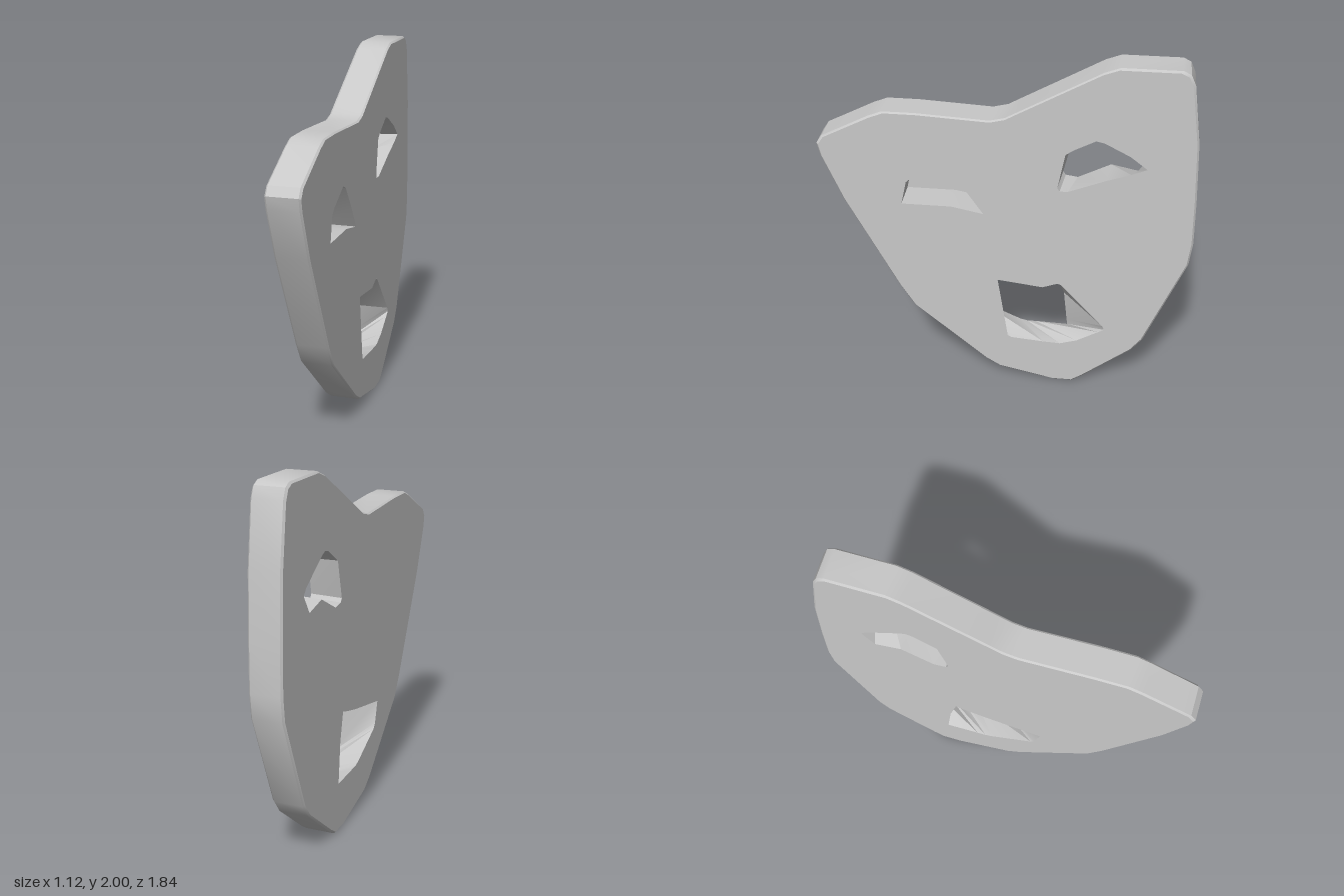
import * as THREE from 'three';
import { toCreasedNormals } from 'three/addons/utils/BufferGeometryUtils.js';

const H = 0.09; // half the plate thickness
const BEVEL = 0.01;

// Contours run anticlockwise as [across, up], seen from the plate's +z face.
const outline = [
  [0.27, 0], [0.38, 0], [0.44, 0.04], [0.71, 0.255], [0.77, 0.335], [0.985, 0.865], [1, 1],
  [0.995, 1.26], [0.98, 1.6], [0.935, 1.925], [0.91, 1.98], [0.87, 2], [0.565, 2], [0.485, 1.97],
  [0.06, 1.73], [-0.01, 1.69], [-0.09, 1.67], [-0.48, 1.69], [-0.65, 1.69], [-0.725, 1.66],
  [-0.98, 1.53], [-1.01, 1.485], [-0.995, 1.415], [-0.89, 1.155], [-0.605, 0.6], [-0.525, 0.47],
  [-0.12, 0.12], [-0.04, 0.07],
];
const eyeFace = [
  [0.73, 1.44], [0.64, 1.51], [0.505, 1.58], [0.46, 1.59], [0.347, 1.53], [0.305, 1.5],
  [0.268, 1.3], [0.28, 1.28], [0.323, 1.28], [0.52, 1.36], [0.65, 1.405],
];
const eyeBack = [
  [0.75, 1.43], [0.72, 1.465], [0.53, 1.58], [0.495, 1.595], [0.455, 1.585], [0.335, 1.51],
  [0.285, 1.3], [0.3, 1.28], [0.365, 1.27], [0.54, 1.36], [0.685, 1.33],
];
const mouthFace = [
  [-0.05, 0.685], [0.007, 0.3], [0.03, 0.29], [0.21, 0.275], [0.305, 0.27], [0.4, 0.3],
  [0.52, 0.37], [0.553, 0.39], [0.54, 0.415], [0.3, 0.68], [0.28, 0.685], [0.2, 0.655],
];
const mouthBack = [
  [-0.235, 0.55], [-0.2, 0.425], [-0.18, 0.4], [0.06, 0.29], [0.1, 0.28], [0.15, 0.28],
  [0.335, 0.275], [0.33, 0.31], [0.31, 0.5], [0.27, 0.67], [0.25, 0.66], [0.1, 0.62],
];
const blindEye = [
  [-0.126, 1.11], [-0.21, 1.235], [-0.314, 1.37], [-0.357, 1.385], [-0.405, 1.36],
  [-0.508, 1.31], [-0.54, 1.28], [-0.57, 1.145], [-0.3, 1.145],
];

// Slightly shrunken outline for the bevelled rims
const inset = (pts) => pts.map(([x, y]) => [x * (1 - BEVEL), 1 + (y - 1) * (1 - BEVEL)]);

const vectors = (pts) => pts.map(([x, y]) => new THREE.Vector2(x, y));

// Flat face with holes at depth z, optionally turned to face backwards
function cap(pts, holes, z, backwards = false) {
  const shape = new THREE.Shape(vectors(pts));
  shape.holes = holes.map((h) => new THREE.Path(vectors(h)));
  const geo = new THREE.ShapeGeometry(shape);
  geo.translate(0, 0, z);
  if (backwards) {
    geo.index.array.reverse();
    geo.computeVertexNormals();
  }
  return geo;
}

// Walls joining matching contours; each ring is { pts, z }, back to front
function loft(rings, inward = false) {
  const pos = [];
  for (let r = 0; r < rings.length - 1; r++) {
    const a = rings[r], b = rings[r + 1], n = a.pts.length;
    for (let i = 0; i < n; i++) {
      const j = (i + 1) % n;
      const a0 = [...a.pts[i], a.z], a1 = [...a.pts[j], a.z];
      const b0 = [...b.pts[i], b.z], b1 = [...b.pts[j], b.z];
      const corners = [a0, a1, b1, a0, b1, b0];
      if (inward) corners.reverse();
      pos.push(...corners.flat());
    }
  }
  const geo = new THREE.BufferGeometry();
  geo.setAttribute('position', new THREE.Float32BufferAttribute(pos, 3));
  geo.computeVertexNormals();
  return toCreasedNormals(geo, 0.5);
}

export function createModel() {
  const grey = new THREE.MeshStandardMaterial({ color: 0xc8c8c8 });
  grey.name = 'light grey';

  const plate = new THREE.Group();
  plate.name = 'maskPlate';
  const add = (name, geo) => {
    const mesh = new THREE.Mesh(geo, grey);
    mesh.name = name;
    plate.add(mesh);
  };

  // Two broad faces and the bevelled rim
  const rim = inset(outline);
  add('mainFace', cap(rim, [eyeFace, mouthFace, blindEye], H));
  add('rearFace', cap(rim, [eyeBack, mouthBack], -H, true));
  add('outerEdge', loft([
    { pts: rim, z: -H }, { pts: outline, z: -H + BEVEL },
    { pts: outline, z: H - BEVEL }, { pts: rim, z: H },
  ]));

  // Openings that run through the plate
  add('eyeOpening', loft([{ pts: eyeBack, z: -H }, { pts: eyeFace, z: H }], true));
  add('mouthOpening', loft([{ pts: mouthBack, z: -H }, { pts: mouthFace, z: H }], true));

  // Eye pocket closed at the rear
  const floor = -H + 0.005;
  add('eyePocketWall', loft([{ pts: blindEye, z: floor }, { pts: blindEye, z: H }], true));
  add('eyePocketFloor', cap(blindEye, [], floor));

  // The plate stands turned about the upright axis
  plate.rotation.y = Math.atan2(0.875, -0.485);
  const model = new THREE.Group();
  model.name = 'mask';
  model.add(plate);
  return model;
}
